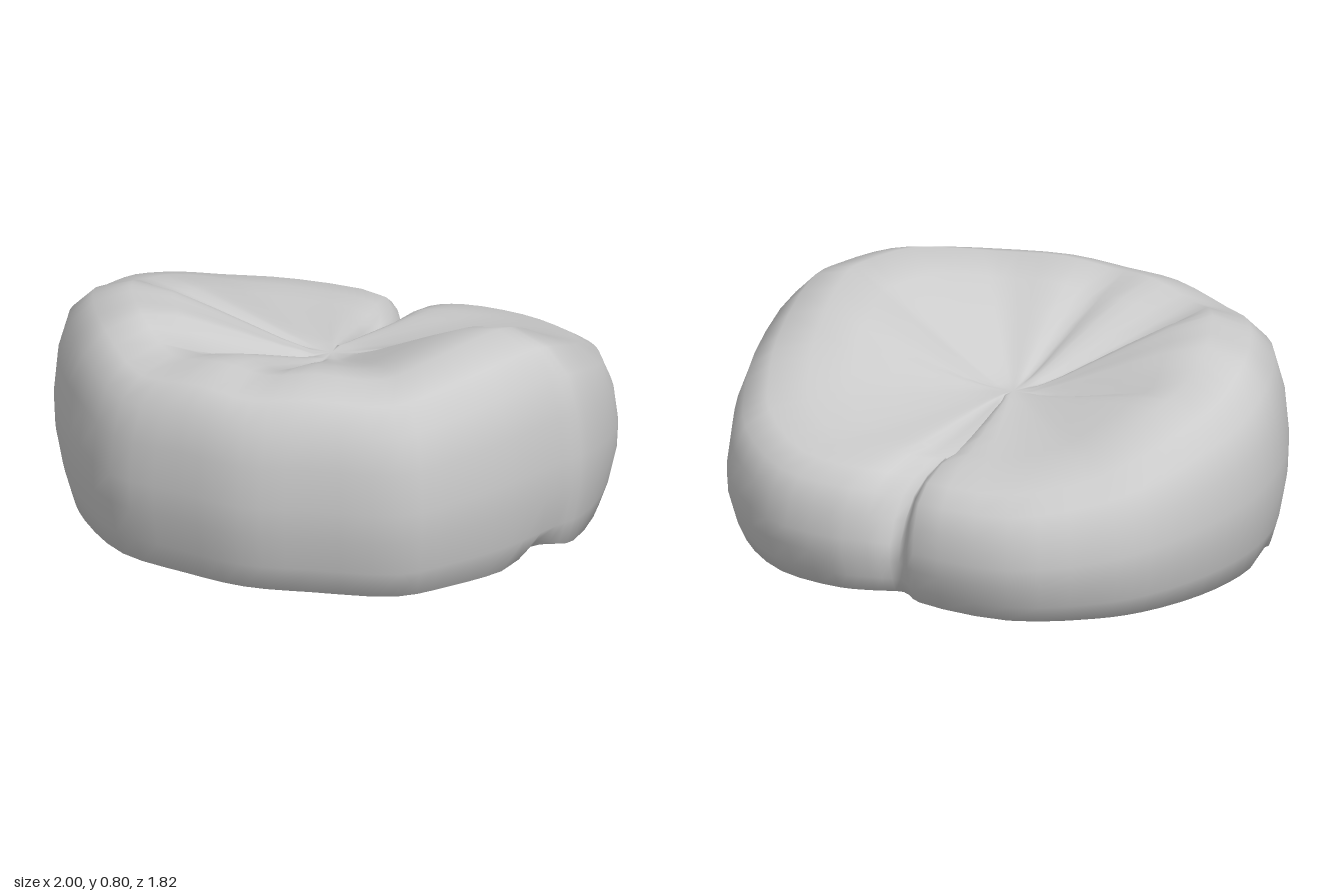
import * as THREE from 'three';

// Outline going round from the front towards +x: [x, crown height, z]
const OUTLINE = [
  [0, .73, .91], [.25, .75, .87], [.57, .74, .79], [.72, .77, .63], [.85, .80, .44],
  [.95, .80, .2], [1, .78, .08], [.97, .65, -.27], [.88, .57, -.5], [.77, .52, -.68],
  [.5, .47, -.88], [.23, .46, -.91], [.1, .45, -.87], [0, .41, -.83], [-.1, .45, -.89],
  [-.48, .47, -.88], [-.75, .52, -.7], [-.87, .57, -.55], [-.97, .64, -.3], [-1, .69, -.05],
  [-.97, .76, .18], [-.89, .77, .37], [-.77, .77, .56], [-.53, .71, .79], [-.25, .74, .87],
];

// Side and top section: [radius fraction, height fraction of the crown]
const WALL = [[.94, 0], [.97, .13], [.995, .3], [1, .45], [.985, .65], [.945, .83], [.86, .94], [.72, 1]];
// Seat bowl: [radius fraction, blend from hub to crown]
const BOWL = [[.57, .85], [.42, .6], [.28, .35], [.18, .17], [.12, .08], [.07, 0]];
const HUB = { x: -.02, y: .52, z: -.06 };

// Seams pulled towards the hub: [x, z, depth, angular width]
const SEAMS = [[0, -1, .05, .09], [-1, -.03, .035, .12], [-.6, .7, .05, .14], [0, 1, .025, .12], [1, -.1, .025, .12]];
const SIDES = 75;

const bump = (angle, x, z, width) => {
  let d = angle - Math.atan2(x, z);
  d = Math.atan2(Math.sin(d), Math.cos(d)) / width;
  return Math.exp(-d * d);
};

function bagGeometry() {
  const curve = new THREE.CatmullRomCurve3(OUTLINE.map(p => new THREE.Vector3(...p)), true);
  const around = Array.from({ length: SIDES }, (_, j) => curve.getPoint(j / SIDES));
  const pos = [], index = [];
  const ring = fn => around.forEach(p => pos.push(...fn(p, Math.atan2(p.x, p.z))));

  // Underside, with a shallow fold running from side to side
  const fold = a => bump(a, .94, .27, .1) + .5 * bump(a, -.95, .15, .08);
  pos.push(0, .01, 0);
  for (const t of [.5, .9]) ring((p, a) => [p.x * t, .03 * t * fold(a), p.z * t]);

  // Wall and rounded crown, pinched at the back between the two lobes
  for (const [t, f] of WALL) {
    ring((p, a) => {
      const r = t - .13 * f * f * bump(a, 0, -1, .06);
      return [p.x * r, p.y * f + (f < .1 ? .06 * fold(a) : 0), p.z * r];
    });
  }

  // Sunken seat with radiating seams
  for (const [t, k] of BOWL) {
    ring((p, a) => {
      let y = HUB.y + (p.y - HUB.y) * k;
      if (k > 0) for (const [x, z, depth, w] of SEAMS) {
        y -= depth * bump(a, x, z, w) * Math.sin(Math.PI * Math.min(1, t * 1.2));
      }
      return [p.x * t + HUB.x * (1 - t), y, p.z * t + HUB.z * (1 - t)];
    });
  }
  pos.push(HUB.x, HUB.y - .005, HUB.z);

  // Faces: bottom fan, bands, hub fan
  const rings = 2 + WALL.length + BOWL.length, last = 1 + rings * SIDES;
  for (let j = 0; j < SIDES; j++) {
    const n = (j + 1) % SIDES;
    index.push(0, 1 + n, 1 + j);
    for (let i = 0; i < rings - 1; i++) {
      const lo = 1 + i * SIDES, hi = lo + SIDES;
      index.push(lo + j, lo + n, hi + n, lo + j, hi + n, hi + j);
    }
    index.push(last - SIDES + j, last - SIDES + n, last);
  }

  const geometry = new THREE.BufferGeometry();
  geometry.setAttribute('position', new THREE.Float32BufferAttribute(pos, 3));
  geometry.setIndex(index);
  geometry.computeVertexNormals();
  return geometry;
}

export function createModel() {
  const group = new THREE.Group();
  group.name = 'beanBagChair';
  const bag = new THREE.Mesh(bagGeometry(), new THREE.MeshStandardMaterial({ color: 0xcccccc }));
  bag.name = 'cushionBag';
  group.add(bag);
  return group;
}
